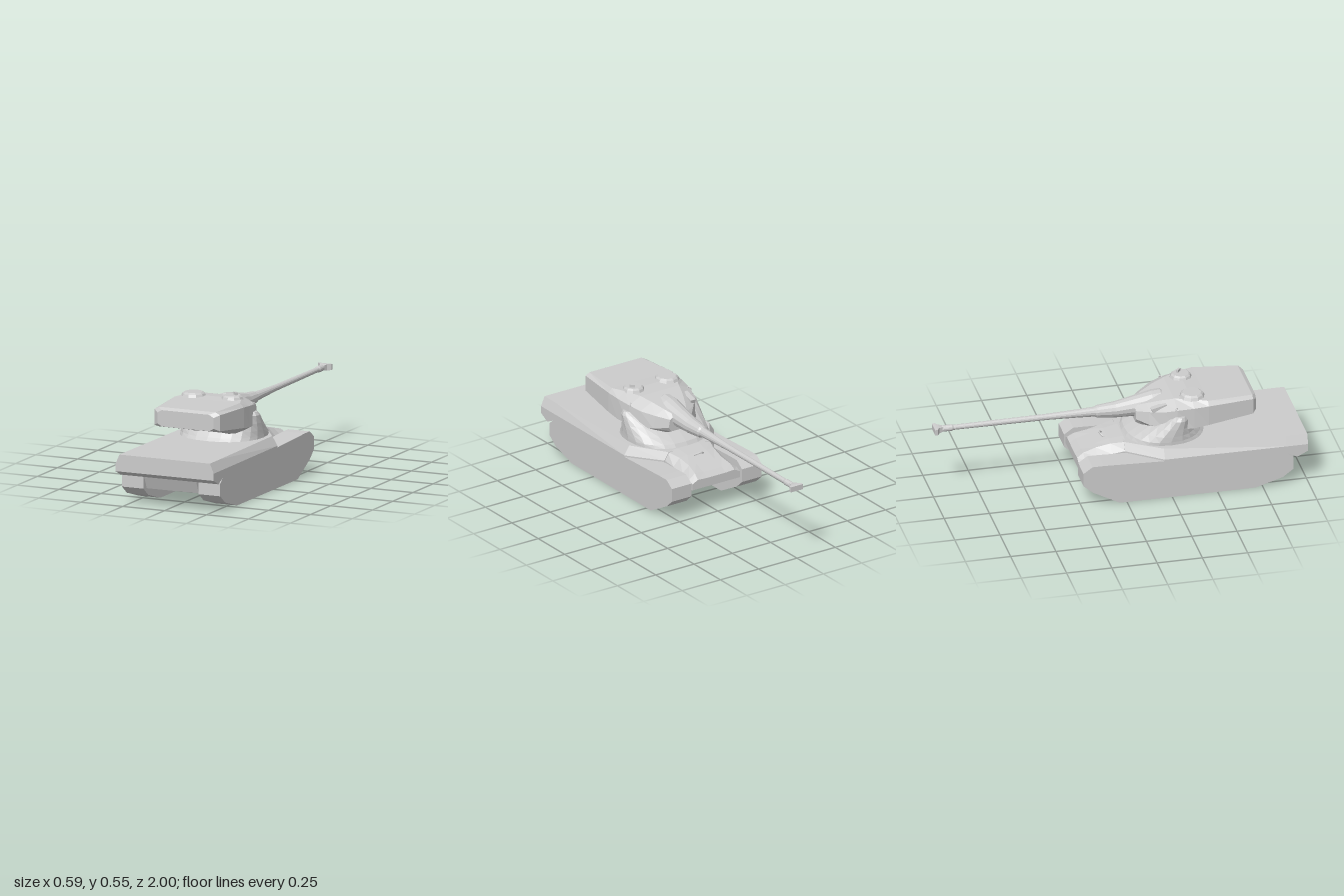
import * as THREE from 'three';

const grey = new THREE.MeshStandardMaterial({ color: 0xcccccc, flatShading: true });

function add(parent, name, geometry, x = 0, y = 0, z = 0) {
  const mesh = new THREE.Mesh(geometry, grey);
  mesh.name = name;
  mesh.position.set(x, y, z);
  parent.add(mesh);
  return mesh;
}

// Skin closed rings of equal length, cap both ends and face everything outwards
function loft(rings) {
  const tris = [], n = rings[0].length;
  for (let i = 0; i < rings.length - 1; i++) {
    for (let j = 0; j < n; j++) {
      const k = (j + 1) % n, a = rings[i], b = rings[i + 1];
      tris.push([a[j], a[k], b[k]], [a[j], b[k], b[j]]);
    }
  }
  const cap = (ring, flip) => {
    const c = ring.reduce((s, p) => s.add(p), new THREE.Vector3()).divideScalar(n);
    ring.forEach((p, j) => {
      const q = ring[(j + 1) % n];
      tris.push(flip ? [c, q, p] : [c, p, q]);
    });
  };
  cap(rings[0], true);
  cap(rings[rings.length - 1], false);
  const cross = new THREE.Vector3();
  const volume = tris.reduce((s, [a, b, c]) => s + a.dot(cross.crossVectors(b, c)), 0);
  if (volume < 0) tris.forEach(t => t.reverse());
  const g = new THREE.BufferGeometry().setFromPoints(tris.flat());
  g.computeVertexNormals();
  return g;
}

// Mirrored cross-section at depth z from [x, y] points running top to bottom
function section(z, ...half) {
  const side = half.map(([x, y]) => new THREE.Vector3(x, y, z));
  const other = half.map(([x, y]) => new THREE.Vector3(-x, y, z)).reverse();
  return [...side, ...other];
}

// Side profile in [z, y], extruded across x and centred on x = 0
function sideExtrude(profile, width) {
  const shape = new THREE.Shape(profile.map(([z, y]) => new THREE.Vector2(z, y)));
  const g = new THREE.ExtrudeGeometry(shape, { depth: width, bevelEnabled: false });
  return g.translate(0, 0, -width / 2).rotateY(-Math.PI / 2);
}

// Rounded horizontal ring between two depths
function plan(y, rx, z0, z1, n = 24) {
  const bend = v => Math.sign(v) * Math.abs(v) ** 0.88;
  return Array.from({ length: n }, (_, i) => {
    const a = i / n * Math.PI * 2;
    return new THREE.Vector3(rx * bend(Math.cos(a)), y, (z0 + z1) / 2 + (z1 - z0) / 2 * bend(Math.sin(a)));
  });
}

function buildHull() {
  const hull = new THREE.Group();
  hull.name = 'hull';

  // Tracks
  const trackProfile = [[0.92, 0.16], [0.92, 0.09], [0.86, 0.045], [0.71, 0], [-0.04, 0], [-0.19, 0.08],
    [-0.24, 0.125], [-0.24, 0.2], [-0.19, 0.235], [-0.13, 0.235], [0.87, 0.2]];
  for (const s of [-1, 1]) {
    add(hull, s > 0 ? 'leftTrack' : 'rightTrack', sideExtrude(trackProfile, 0.128), s * 0.229);
  }

  // Belly tub between the tracks
  add(hull, 'belly', sideExtrude([[0.94, 0.18], [0.9, 0.09], [-0.05, 0.09], [-0.225, 0.15], [-0.225, 0.19], [0.9, 0.2]], 0.31));

  // Deck with bevelled shoulders, narrowing to the cast nose
  add(hull, 'deck', loft([
    section(1, [0.27, 0.283], [0.293, 0.23], [0.293, 0.19]),
    section(0.94, [0.27, 0.283], [0.293, 0.23], [0.293, 0.16]),
    section(0.88, [0.27, 0.283], [0.293, 0.23], [0.293, 0.19]),
    section(0.21, [0.262, 0.283], [0.293, 0.232], [0.293, 0.2]),
    section(0.02, [0.135, 0.281], [0.162, 0.238], [0.162, 0.19]),
  ]));
  add(hull, 'nose', loft([
    section(0.03, [0.07, 0.284], [0.135, 0.28], [0.16, 0.238], [0.16, 0.16]),
    section(-0.05, [0.06, 0.272], [0.112, 0.268], [0.152, 0.225], [0.155, 0.16]),
    section(-0.13, [0.06, 0.25], [0.105, 0.25], [0.148, 0.215], [0.155, 0.16]),
    section(-0.2, [0.06, 0.228], [0.115, 0.232], [0.155, 0.205], [0.158, 0.155]),
    section(-0.235, [0.06, 0.205], [0.12, 0.208], [0.155, 0.19], [0.155, 0.155]),
  ]));
  const guard = add(hull, 'noseHandle', new THREE.TorusGeometry(0.03, 0.005, 5, 10, Math.PI), 0, 0.262, -0.06);
  guard.rotation.x = -0.9;
  return hull;
}

function buildTurret() {
  const turret = new THREE.Group();
  turret.name = 'turret';

  // Lower turret with the trunnion cheeks
  add(turret, 'turretBase', loft([
    plan(0.28, 0.235, 0.035, 0.485), plan(0.3, 0.235, 0.05, 0.465), plan(0.33, 0.235, 0.1, 0.44),
    plan(0.37, 0.235, 0.165, 0.415), plan(0.415, 0.234, 0.23, 0.395), plan(0.434, 0.224, 0.27, 0.37),
  ]));

  // Upper turret and bustle
  add(turret, 'upperTurret', loft([
    section(0.742, [0.14, 0.49], [0.168, 0.475], [0.168, 0.415], [0.14, 0.4]),
    section(0.72, [0.17, 0.502], [0.195, 0.488], [0.195, 0.4], [0.165, 0.394]),
    section(0.47, [0.195, 0.508], [0.217, 0.485], [0.217, 0.372], [0.115, 0.345]),
    section(0.39, [0.165, 0.512], [0.212, 0.478], [0.214, 0.36], [0.1, 0.3]),
    section(0.3, [0.125, 0.506], [0.2, 0.47], [0.21, 0.36], [0.1, 0.3]),
    section(0.23, [0.1, 0.49], [0.175, 0.455], [0.185, 0.36], [0.1, 0.31]),
    section(0.16, [0.07, 0.467], [0.125, 0.44], [0.14, 0.37], [0.09, 0.33]),
    section(0.1, [0.04, 0.445], [0.07, 0.425], [0.08, 0.38], [0.06, 0.355]),
  ]));

  // Hatch and cupola on the roof
  for (const [name, x, z, r] of [['hatch', -0.115, 0.4, 0.07], ['cupola', 0.11, 0.39, 0.062]]) {
    add(turret, name, new THREE.CylinderGeometry(r * 0.88, r, 0.016, 10), x, 0.514, z);
    add(turret, name + 'Lid', new THREE.CylinderGeometry(r * 0.72, r * 0.88, 0.008, 10), x, 0.526, z);
  }
  const scope = add(turret, 'periscope', new THREE.BoxGeometry(0.03, 0.02, 0.012), 0.125, 0.535, 0.38);
  scope.rotation.y = -0.7;

  // Sight box and small lifting hooks around the front roof
  const sight = add(turret, 'sightBox', new THREE.BoxGeometry(0.032, 0.026, 0.085), -0.13, 0.463, 0.215);
  sight.rotation.x = -0.25;
  for (const s of [-1, 1]) {
    const hook = add(turret, 'liftingHook', new THREE.TorusGeometry(0.012, 0.004, 5, 8, Math.PI), s * 0.19, 0.466, 0.3);
    hook.rotation.y = s * 0.8;
  }
  return turret;
}

function buildGun() {
  const gun = new THREE.Group();
  gun.name = 'gun';

  // Mantlet sleeve and barrel, turned about z; the mantlet end lifts into the roof
  const profile = [[0, -0.29], [0.045, -0.285], [0.066, -0.25], [0.068, -0.2], [0.054, -0.09], [0.044, 0],
    [0.034, 0.1], [0.027, 0.11], [0.022, 0.22], [0.017, 0.37], [0.014, 0.89], [0.018, 0.9],
    [0.017, 0.95], [0.012, 0.96], [0, 0.96]].map(([r, s]) => new THREE.Vector2(r, s));
  const barrel = new THREE.LatheGeometry(profile, 14).rotateX(-Math.PI / 2);
  const p = barrel.attributes.position;
  for (let i = 0; i < p.count; i++) p.setY(i, p.getY(i) + 0.1 * Math.max(0, p.getZ(i)));
  barrel.computeVertexNormals();
  add(gun, 'barrel', barrel, 0, 0.412, 0);

  // Flared muzzle brake
  add(gun, 'muzzleBrake', loft([
    section(-0.945, [0.012, 0.424], [0.012, 0.4]),
    section(-0.972, [0.02, 0.429], [0.02, 0.395]),
    section(-0.985, [0.039, 0.429], [0.039, 0.395]),
    section(-1, [0.039, 0.427], [0.039, 0.397]),
  ]));
  return gun;
}

export function createModel() {
  const model = new THREE.Group();
  model.name = 'tank';
  model.add(buildHull(), buildTurret(), buildGun());
  return model;
}
